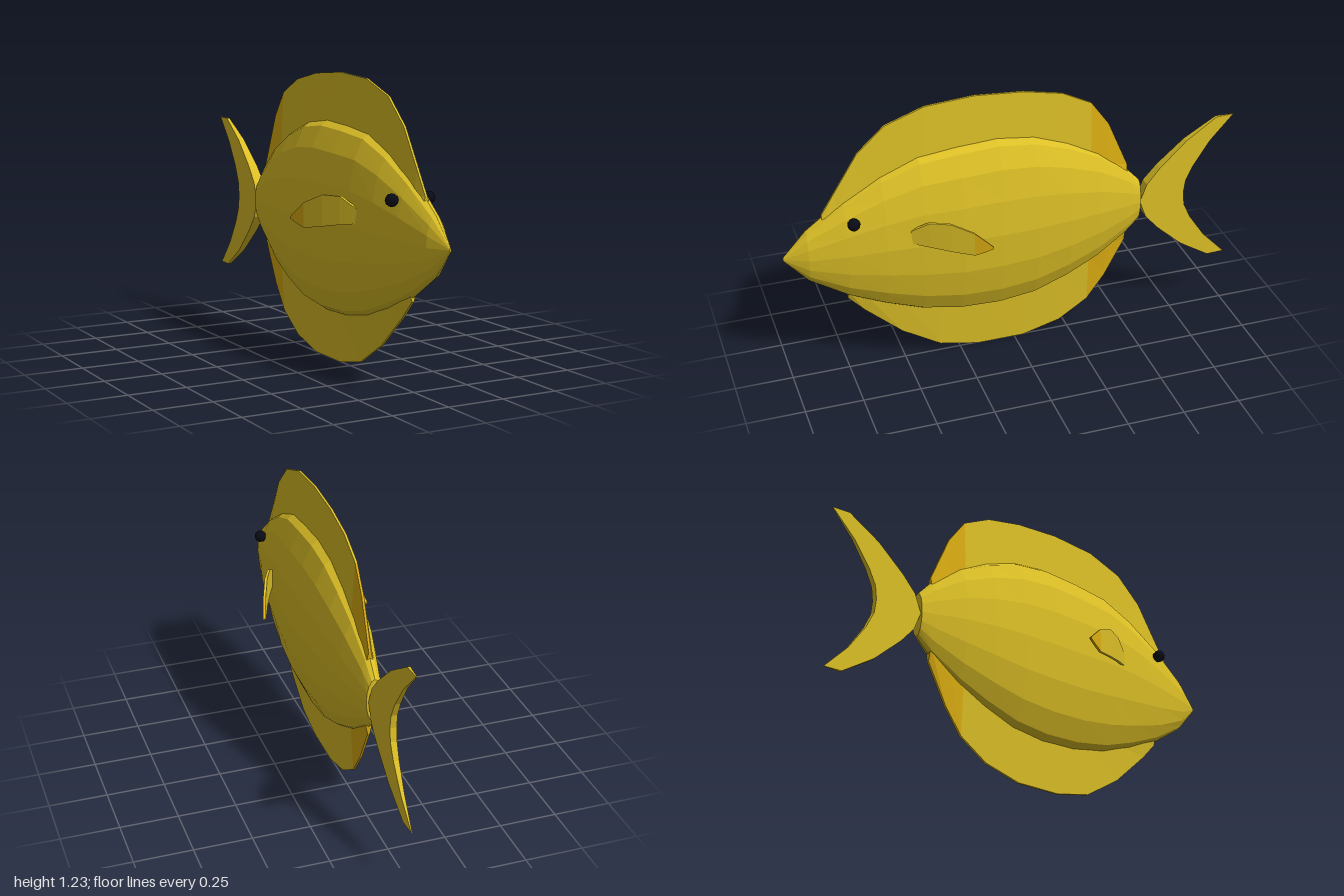
import * as THREE from 'three';

const gold = new THREE.MeshStandardMaterial({ color: 0xdcbf26 });
gold.name = 'gold';
const amber = new THREE.MeshStandardMaterial({ color: 0xdcae12 });
amber.name = 'amber';
const black = new THREE.MeshStandardMaterial({ color: 0x0a0c16 });
black.name = 'eye black';

// Closed, faceted solid through rings of equal point count, with both ends capped
function loft(rings) {
  const n = rings[0].length;
  const pts = rings.flat();
  const tris = [];
  for (let i = 0; i < rings.length - 1; i++) {
    for (let j = 0; j < n; j++) {
      const a = i * n + j, b = i * n + (j + 1) % n;
      tris.push([a, b, b + n], [a, b + n, a + n]);
    }
  }
  const last = (rings.length - 1) * n;
  for (let j = 1; j < n - 1; j++) {
    tris.push([0, j + 1, j], [last, last + j, last + j + 1]);
  }
  // Signed volume tells whether the faces point outward
  const v = (i) => new THREE.Vector3(...pts[i]);
  let volume = 0;
  for (const [a, b, c] of tris) volume += v(a).dot(v(b).cross(v(c)));
  const pos = [];
  for (const [a, b, c] of tris) {
    pos.push(...pts[a], ...(volume > 0 ? [...pts[b], ...pts[c]] : [...pts[c], ...pts[b]]));
  }
  const geo = new THREE.BufferGeometry();
  geo.setAttribute('position', new THREE.Float32BufferAttribute(pos, 3));
  geo.computeVertexNormals();
  return geo;
}

function add(group, name, geometry, material) {
  const mesh = new THREE.Mesh(geometry, material);
  mesh.name = name;
  group.add(mesh);
  return mesh;
}

// Body stations: z, bottom, top, half width
const BODY = [
  [1, 0.595, 0.61, 0.004], [0.9, 0.48, 0.72, 0.045], [0.74, 0.375, 0.84, 0.077],
  [0.58, 0.3, 0.935, 0.1], [0.42, 0.24, 1.0, 0.116], [0.25, 0.207, 1.02, 0.125],
  [0.08, 0.2, 1.03, 0.125], [-0.08, 0.22, 1.01, 0.119], [-0.23, 0.275, 0.955, 0.105],
  [-0.37, 0.345, 0.88, 0.083], [-0.51, 0.445, 0.765, 0.05], [-0.57, 0.505, 0.7, 0.035],
];

function bodyRing([z, bottom, top, w]) {
  const ring = [];
  for (let i = 0; i < 16; i++) {
    const a = (i / 16) * Math.PI * 2;
    ring.push([Math.sin(a) * w, (top + bottom) / 2 + Math.cos(a) * (top - bottom) / 2, z]);
  }
  return ring;
}

// Height of the body's lower (1) or upper (2) outline at z
function bodyEdge(z, column) {
  for (let i = 0; i < BODY.length - 1; i++) {
    const a = BODY[i], b = BODY[i + 1];
    if (z <= a[0] && z >= b[0]) {
      return THREE.MathUtils.lerp(a[column], b[column], (a[0] - z) / (a[0] - b[0]));
    }
  }
  return 0.6;
}

// Median fin: thick root sunk in the body, thin outer edge, amber behind z = -0.34
function medianFin(group, name, outline, column) {
  const sink = column === 2 ? -0.03 : 0.03;
  const rings = outline.map(([z, y]) => {
    const root = bodyEdge(z, column) + sink;
    return [[-0.018, root, z], [0.018, root, z], [0.005, y, z], [-0.005, y, z]];
  });
  const split = outline.findIndex(([z]) => z <= -0.34);
  add(group, name, loft(rings.slice(0, split + 1)), gold);
  add(group, name + 'RearEdge', loft(rings.slice(split)), amber);
}

export function createModel() {
  const fish = new THREE.Group();
  fish.name = 'fish';

  add(fish, 'body', loft(BODY.map(bodyRing)), gold);

  medianFin(fish, 'dorsalFin', [
    [0.83, 0.785], [0.77, 0.88], [0.67, 1.04], [0.55, 1.15], [0.38, 1.21], [0.17, 1.225],
    [-0.04, 1.21], [-0.21, 1.175], [-0.34, 1.11], [-0.42, 1.0], [-0.51, 0.79],
  ], 2);
  medianFin(fish, 'analFin', [
    [0.74, 0.36], [0.67, 0.285], [0.51, 0.14], [0.34, 0.035], [0.17, 0], [-0.04, 0],
    [-0.21, 0.045], [-0.34, 0.13], [-0.42, 0.24], [-0.51, 0.41],
  ], 1);

  // Crescent tail, half profile: front edge z, y, then rear edge z, y (y from the middle)
  const half = [
    [-0.57, 0, -0.78, 0], [-0.6, 0.08, -0.787, 0.06], [-0.66, 0.15, -0.82, 0.13],
    [-0.78, 0.26, -0.895, 0.24], [-0.92, 0.35, -1, 0.35],
  ];
  const lower = half.slice(1).reverse().map(([a, b, c, d]) => [a, -b, c, -d]);
  const thick = (z) => 0.002 + 0.024 * (z + 1) / 0.43;
  add(fish, 'tailFin', loft([...lower, ...half].map(([z1, y1, z2, y2]) => [
    [-thick(z1), 0.6 + y1, z1], [thick(z1), 0.6 + y1, z1],
    [thick(z2), 0.6 + y2, z2], [-thick(z2), 0.6 + y2, z2],
  ])), gold);

  // Curved pectoral fins: z, bottom, top
  const pectoral = [
    [0.48, 0.64, 0.7], [0.41, 0.63, 0.745], [0.33, 0.615, 0.745],
    [0.24, 0.6, 0.705], [0.2, 0.615, 0.67], [0.165, 0.632, 0.638],
  ];
  for (const [side, s] of [['left', 1], ['right', -1]]) {
    const rings = pectoral.map(([z, bottom, top]) => {
      const u = (0.48 - z) / 0.32;
      const x = 0.1 + 0.18 * u - 0.045 * u * u;
      return [[x - 0.006, bottom], [x + 0.006, bottom], [x + 0.006, top], [x - 0.006, top]]
        .map(([px, py]) => [s * px, py, z]);
    });
    add(fish, side + 'PectoralFin', loft(rings.slice(0, 4)), gold);
    add(fish, side + 'PectoralTip', loft(rings.slice(3)), amber);

    const eye = add(fish, side + 'Eye', new THREE.IcosahedronGeometry(0.027, 1), black);
    eye.position.set(s * 0.084, 0.763, 0.713);
  }
  return fish;
}
